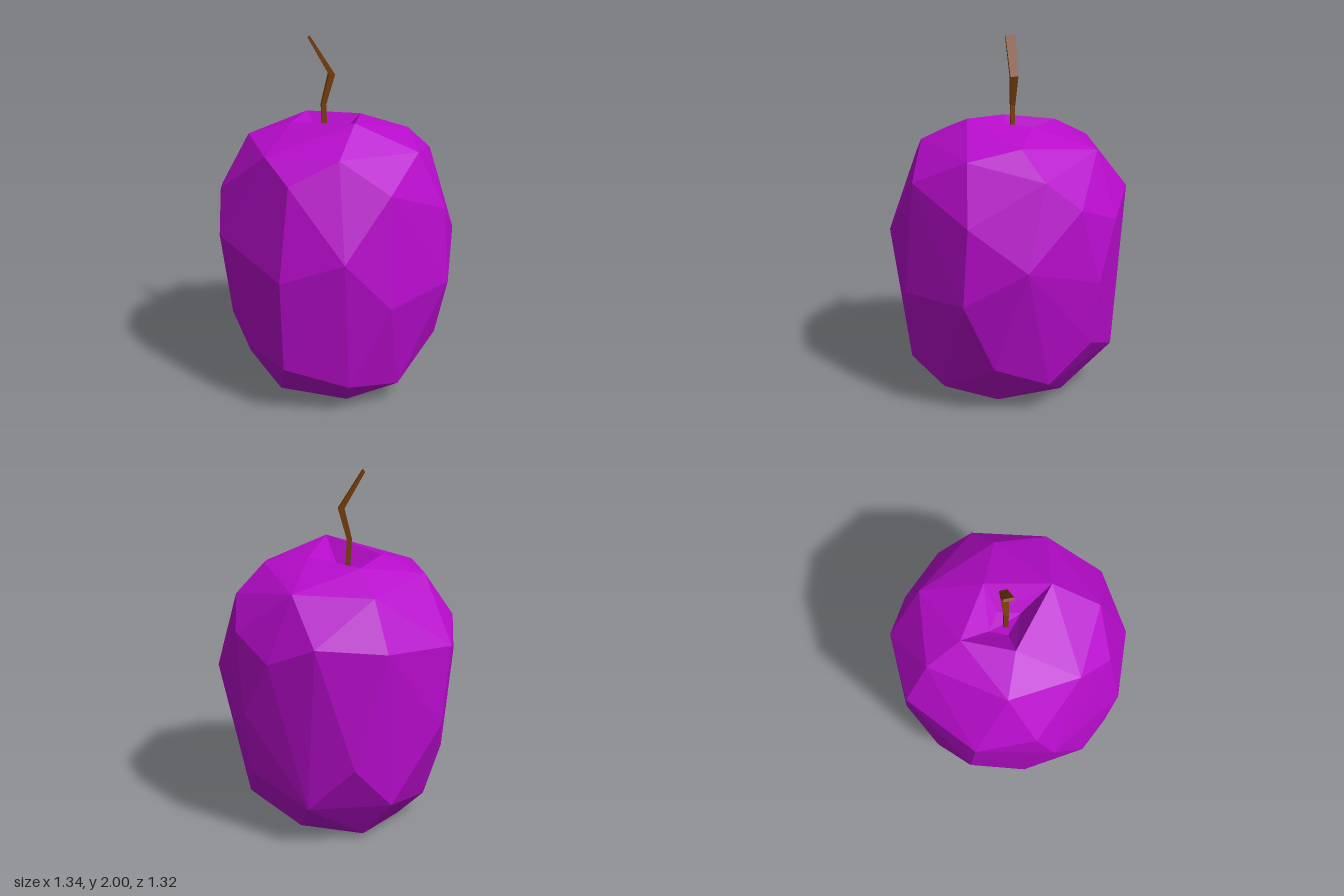
import * as THREE from 'three';
import { ConvexGeometry } from 'three/addons/geometries/ConvexGeometry.js';

const V = (x, y, z) => new THREE.Vector3(x, y, z);

// Opening around the stem, counter-clockwise seen from above
const RIM = [V(0.06, 1.58, 0.23), V(0.15, 1.54, -0.12), V(-0.13, 1.52, -0.3), V(-0.25, 1.53, -0.03)];

// Uneven cross-section loops of the fruit, from the base to the shoulder
const BELTS = [
  [V(-0.35, 0, 0.15), V(0, 0, 0.34), V(0.29, 0.01, 0.1), V(0.2, 0.01, -0.28), V(-0.15, 0.02, -0.4), V(-0.35, 0, -0.1)],
  [V(0.54, 0.3, 0.16), V(0.28, 0.11, 0.4), V(-0.02, 0.18, 0.55), V(-0.37, 0.29, 0.5), V(-0.54, 0.37, 0.32),
    V(-0.6, 0.41, -0.05), V(-0.5, 0.13, -0.1), V(-0.3, 0.25, -0.52), V(0.15, 0.25, -0.58), V(0.46, 0.39, -0.39), V(0.49, 0.17, -0.15)],
  [V(0.67, 0.88, 0), V(0.57, 0.68, 0.33), V(0.2, 0.65, 0.6), V(-0.06, 0.94, 0.655), V(-0.39, 0.81, 0.54),
    V(-0.67, 0.94, 0.1), V(-0.57, 0.65, -0.36), V(-0.1, 0.51, -0.66), V(0.5, 0.75, -0.42)],
  [V(0.55, 1.1, 0.3), V(0.2, 1.27, 0.55), V(-0.33, 1.32, 0.47), V(-0.65, 1.18, 0), V(-0.62, 1.1, -0.33),
    V(-0.27, 1.15, -0.64), V(0.11, 1.18, -0.66), V(0.36, 1.06, -0.54), V(0.54, 1.17, -0.31), V(0.55, 1.33, -0.11)],
  [V(0.4, 1.48, -0.01), V(0.4, 1.42, 0.28), V(0.2, 1.47, 0.31), V(-0.06, 1.45, 0.47), V(-0.43, 1.43, 0.28),
    V(-0.48, 1.45, -0.12), V(-0.2, 1.41, -0.5), V(0.23, 1.42, -0.46)],
];

function meshFrom(points, name, material) {
  const geometry = new THREE.BufferGeometry().setFromPoints(points);
  geometry.computeVertexNormals();
  const mesh = new THREE.Mesh(geometry, material);
  mesh.name = name;
  return mesh;
}

// Two triangles for each side between two matching loops
function bridge(out, a, b) {
  a.forEach((p, i) => {
    const j = (i + 1) % a.length;
    out.push(p, a[j], b[j], p, b[j], b[i]);
  });
}

// Faceted skin, left open inside the rim
function skinPoints() {
  const pos = new ConvexGeometry([...BELTS.flat(), ...RIM]).getAttribute('position');
  const onRim = (p) => RIM.some((r) => r.distanceTo(p) < 1e-4);
  const out = [];
  for (let i = 0; i < pos.count; i += 3) {
    const tri = [0, 1, 2].map((k) => new THREE.Vector3().fromBufferAttribute(pos, i + k));
    if (!tri.every(onRim)) out.push(...tri);
  }
  return out;
}

// Sunken pit: the rim shrinks towards the foot of the stem
function pitPoints() {
  const centre = V(-0.05, 1.42, -0.05);
  const floor = RIM.map((r) => V(0, 0, 0).lerpVectors(centre, r, 0.35).setY(1.43));
  const out = [];
  bridge(out, RIM, floor);
  floor.forEach((p, i) => out.push(p, floor[(i + 1) % floor.length], centre));
  return out;
}

// Crooked four-sided stem that widens into a flat blade at the tip
function stemPoints() {
  // x, y, half width in x, half width in z
  const rings = [
    [-0.06, 1.41, 0.012, 0.012],
    [-0.07, 1.62, 0.014, 0.013],
    [-0.025, 1.79, 0.017, 0.022],
    [-0.146, 2.0, 0.006, 0.028],
  ].map(([x, y, w, d]) => [[1, 1], [1, -1], [-1, -1], [-1, 1]].map(([sx, sz]) =>
    V(x + sx * w, y - (y === 2 && sx < 0 ? 0.01 : 0), -0.045 + sz * d)));
  const out = [];
  for (let i = 0; i < rings.length - 1; i++) bridge(out, rings[i], rings[i + 1]);
  const [a, b, c, d] = rings[rings.length - 1];
  out.push(a, b, c, a, c, d);
  return out;
}

export function createModel() {
  const group = new THREE.Group();
  group.name = 'plum';
  const purple = new THREE.MeshStandardMaterial({ color: 0xb80ccc, flatShading: true, side: THREE.DoubleSide });
  const brown = new THREE.MeshStandardMaterial({ color: 0x7a400c, flatShading: true });
  group.add(
    meshFrom(skinPoints(), 'skin', purple),
    meshFrom(pitPoints(), 'stemPit', purple),
    meshFrom(stemPoints(), 'stem', brown),
  );
  return group;
}
